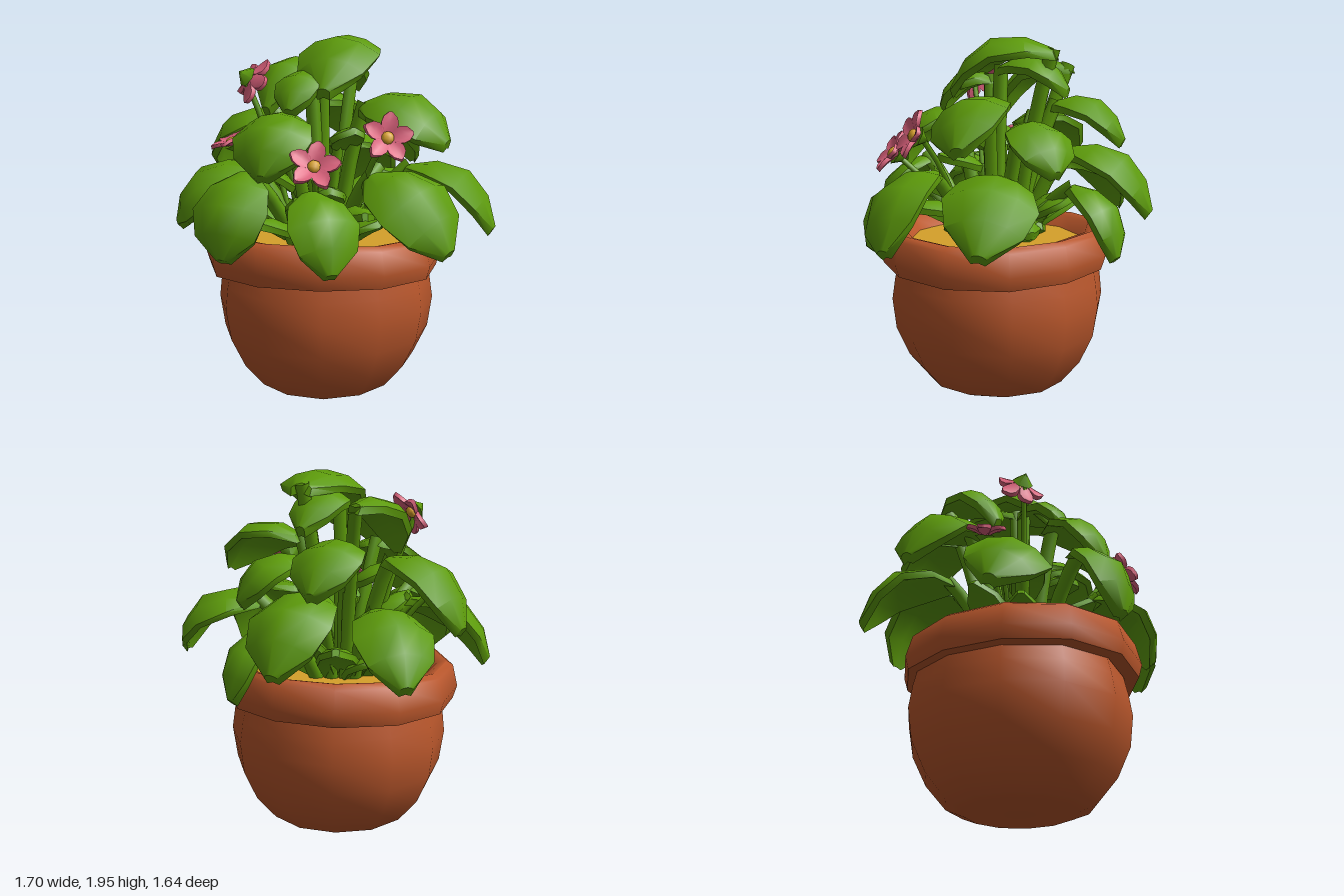
import * as THREE from 'three';
import { toCreasedNormals } from 'three/addons/utils/BufferGeometryUtils.js';

const V = (a) => new THREE.Vector3(...a);
const material = (name, color) => {
  const m = new THREE.MeshStandardMaterial({ color });
  m.name = name;
  return m;
};
const POT_X = -0.055, POT_Z = 0.035;

// Closed, domed blade lofted from base to tip; hint is the direction its face looks.
function bladeGeometry(base, tip, half, arch, thick, hint = [0, 1, 0], cup = 0.45) {
  const b = V(base), t = V(tip);
  const dir = t.clone().sub(b).normalize();
  const side = dir.clone().cross(V(hint)).normalize();
  const normal = side.clone().cross(dir);
  const rise = arch * b.distanceTo(t);
  const stations = [[0, 0.25], [0.2, 0.78], [0.5, 1], [0.78, 0.8], [1, 0.16]];
  const loop = [[-1, 0], [-0.55, 0], [0, 0], [0.55, 0], [1, 0], [0.9, 1], [0, 1], [-0.9, 1]];
  const n = loop.length, pos = [], index = [];
  for (const [s, w] of stations) {
    const center = b.clone().lerp(t, s).addScaledVector(normal, rise * 4 * s * (1 - s));
    for (const [u, under] of loop) {
      const p = center.clone().addScaledVector(side, u * w * half)
        .addScaledVector(normal, -cup * half * u * u * w - thick * under);
      pos.push(p.x, p.y, p.z);
    }
  }
  for (let i = 0; i < stations.length - 1; i++) {
    for (let j = 0; j < n; j++) {
      const k = (j + 1) % n, a = i * n;
      index.push(a + j, a + k, a + n + k, a + j, a + n + k, a + n + j);
    }
  }
  const end = (stations.length - 1) * n;
  for (let j = 1; j < n - 1; j++) {
    index.push(0, j + 1, j, end, end + j, end + j + 1);
  }
  const g = new THREE.BufferGeometry();
  g.setAttribute('position', new THREE.Float32BufferAttribute(pos, 3));
  g.setIndex(index);
  return toCreasedNormals(g, 0.8);
}

// Lathe with slight hand-made unevenness.
function potGeometry(profile, wobble) {
  const g = new THREE.LatheGeometry(profile.map(([r, y]) => new THREE.Vector2(r, y)), 12);
  const p = g.attributes.position;
  for (let i = 0; i < p.count; i++) {
    const x = p.getX(i), y = p.getY(i), z = p.getZ(i), a = Math.atan2(x, z);
    const k = 1 + 0.012 * Math.sin(3 * a + 4 * y);
    p.setXYZ(i, x * k, y + wobble * Math.sin(2 * a + 1), z * k);
  }
  return toCreasedNormals(g, 0.9);
}

export function createModel() {
  const root = new THREE.Group();
  root.name = 'pottedPlant';
  const green = material('leafGreen', 0x5d9b0b);
  const clay = material('terracotta', 0xb8562b);
  const pink = material('petalPink', 0xdd627d);
  const yellow = material('ochre', 0xd6a02a);
  const add = (name, geometry, mat, parent = root) => {
    const m = new THREE.Mesh(geometry, mat);
    m.name = name;
    parent.add(m);
    return m;
  };

  // Pot body, overhanging rim and soil
  const pot = new THREE.Group();
  pot.name = 'pot';
  pot.position.set(POT_X, 0, POT_Z);
  root.add(pot);
  const body = add('potBody', potGeometry([[0, 0], [0.29, 0], [0.39, 0.04], [0.5, 0.17],
    [0.575, 0.33], [0.6, 0.5], [0.585, 0.62], [0.56, 0.74]], 0), clay, pot);
  body.position.z = -0.02;
  add('potRim', potGeometry([[0.55, 0.7], [0.63, 0.7], [0.65, 0.77], [0.62, 0.89], [0.585, 0.915],
    [0.53, 0.9], [0.45, 0.8]], 0.012), clay, pot);
  const soil = add('soil', new THREE.CylinderGeometry(0.48, 0.45, 0.06, 12), yellow, pot);
  soil.position.y = 0.81;

  // Stem rising from the soil and bending out to a point
  const stem = (name, to, radius) => {
    const end = V(to);
    const out = new THREE.Vector3(end.x - POT_X, 0, end.z - POT_Z);
    const start = new THREE.Vector3(POT_X, 0.8, POT_Z).addScaledVector(out, 0.35);
    const mid = start.clone().lerp(end, 0.55).addScaledVector(out, -0.1);
    mid.y += 0.06;
    const curve = new THREE.QuadraticBezierCurve3(start, mid, end);
    add(name, new THREE.TubeGeometry(curve, 5, radius, 6), green);
  };

  // Large leaves: base, tip, half width, tilt of the face toward the front
  const leaves = [
    [[-0.04, 1.89, -0.31], [0.07, 1.68, 0.24], 0.23],       // crown
    [[-0.07, 1.8, 0.0], [-0.08, 1.68, -0.39], 0.15],
    [[-0.1, 1.75, 0.08], [-0.06, 1.58, 0.37], 0.13],
    [[-0.35, 1.8, -0.29], [-0.37, 1.56, 0.13], 0.14],
    [[0.17, 1.6, -0.03], [0.65, 1.42, -0.06], 0.22, 0.25],
    [[-0.12, 1.56, 0.3], [-0.06, 1.27, 0.62], 0.22],
    [[-0.27, 1.6, -0.25], [-0.31, 1.4, -0.64], 0.19],
    [[0.08, 1.5, -0.18], [0.28, 1.28, -0.46], 0.19],
    [[-0.42, 1.52, -0.05], [-0.86, 1.2, -0.08], 0.22, 0.15],
    [[-0.16, 1.36, -0.37], [-0.21, 1.03, -0.83], 0.23],
    [[0.03, 1.18, -0.46], [0.12, 0.83, -0.74], 0.13],
    [[-0.42, 1.27, -0.2], [-0.77, 0.98, -0.5], 0.21],
    [[0.37, 1.26, -0.18], [0.84, 0.95, -0.27], 0.24, -0.15],
    [[0.36, 1.26, 0.23], [0.82, 0.92, 0.27], 0.23, 0.35],
    [[-0.36, 1.25, 0.28], [-0.78, 0.94, 0.42], 0.23, 0.4],
    [[-0.21, 1.27, 0.54], [-0.19, 0.86, 0.79], 0.22],
    [[0.12, 1.18, 0.43], [0.36, 0.82, 0.62], 0.19],
  ];
  leaves.forEach(([base, tip, half, tilt = 0]) => {
    add('leaf', bladeGeometry(base, tip, half, 0.28, 0.05, [0, 1, tilt]), green);
    stem('leafStem', base, 0.04);
  });

  // Young leaves between the stems: base, tip
  const youngLeaves = [
    [[0.06, 1.08, 0.2], [0.2, 1.2, 0.38]],
    [[0.16, 1.02, 0.14], [0.38, 1.08, 0.34]],
    [[-0.08, 1.25, 0.12], [0.1, 1.32, 0.3]],
    [[0.16, 1.02, -0.15], [0.33, 0.97, -0.34]],
    [[-0.18, 1.14, 0.12], [-0.32, 1.28, 0.32]],
    [[0.02, 1.02, -0.22], [-0.02, 1.12, -0.42]],
    [[-0.14, 1.36, 0.02], [-0.32, 1.46, 0.12]],
    [[0.04, 1.38, 0.02], [0.2, 1.48, 0.14]],
  ];
  youngLeaves.forEach(([base, tip]) => {
    add('youngLeaf', bladeGeometry(base, tip, 0.1, 0.13, 0.04), green);
    stem('youngLeafStem', base, 0.03);
  });

  // Low folded shoots around the crown of the plant
  for (let i = 0; i < 11; i++) {
    const a = (i / 11) * Math.PI * 2 + 0.2, c = Math.cos(a), s = Math.sin(a);
    const reach = 0.4 + 0.05 * (i % 2), top = 1.0 + 0.07 * (i % 3);
    add('shoot', bladeGeometry([POT_X + c * 0.1, 0.83, POT_Z + s * 0.1],
      [POT_X + c * reach, top, POT_Z + s * reach], 0.12, 0.15, 0.04), green);
  }

  // Flowers: center, facing direction, scale
  const flowers = [
    [[0.46, 1.45, 0.26], [0.65, 0.4, 0.65], 1],
    [[0.2, 1.32, 0.53], [0.5, 0.58, 0.64], 1],
    [[-0.36, 1.72, 0.27], [0.4, -0.5, -0.75], 1],
    [[-0.56, 1.36, 0.19], [-0.3, 0.85, 0.3], 0.85],
  ];
  flowers.forEach(([center, facing, size]) => {
    const flower = new THREE.Group();
    flower.name = 'flower';
    flower.position.set(...center);
    flower.quaternion.setFromUnitVectors(new THREE.Vector3(0, 0, 1), V(facing).normalize());
    flower.scale.setScalar(size);
    root.add(flower);
    for (let i = 0; i < 5; i++) {
      const a = (i / 5) * Math.PI * 2 + 0.3, c = Math.cos(a), s = Math.sin(a);
      add('petal', bladeGeometry([c * 0.02, s * 0.02, 0], [c * 0.13, s * 0.13, 0.035],
        0.045, 0.05, 0.022, [0, 0, 1], -0.25), pink, flower);
    }
    const eye = add('flowerEye', new THREE.SphereGeometry(0.034, 7, 5), yellow, flower);
    eye.scale.z = 0.6;
    eye.position.z = 0.012;
    const calyx = add('calyx', new THREE.ConeGeometry(0.06, 0.06, 6), green, flower);
    calyx.rotation.x = -Math.PI / 2;
    calyx.position.z = -0.05;
    stem('flowerStem', V(center).addScaledVector(V(facing).normalize(), -0.05).toArray(), 0.016);
  });
  return root;
}
